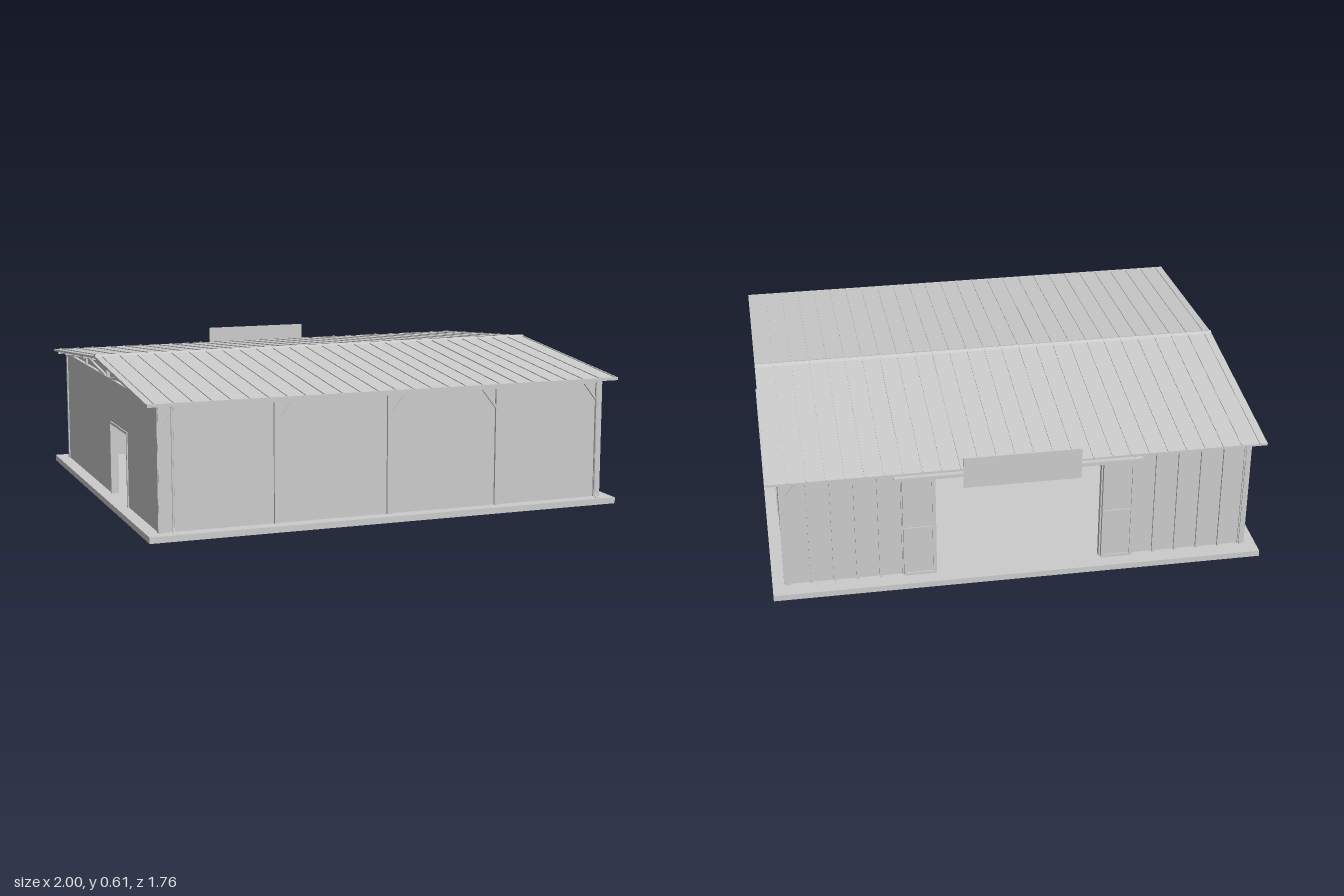
import * as THREE from 'three';

const mat = new THREE.MeshStandardMaterial({ color: 0xcccccc, flatShading: true, side: THREE.DoubleSide });
const FLOOR = 0.025, WALL_TOP = 0.51, RIDGE = 0.605, EAVE = 0.53, EAVE_Z = 0.85;
const roofY = z => RIDGE - (RIDGE - EAVE) * Math.abs(z) / EAVE_Z;

export function createModel() {
  const model = new THREE.Group();
  model.name = 'barn';

  const group = name => {
    const g = new THREE.Group();
    g.name = name;
    model.add(g);
    return g;
  };
  const add = (parent, name, geo) => {
    const m = new THREE.Mesh(geo, mat);
    m.name = name;
    parent.add(m);
    return m;
  };
  // box given by its limits on each axis
  const box = (parent, name, x0, x1, y0, y1, z0, z1) => {
    const m = add(parent, name, new THREE.BoxGeometry(x1 - x0, y1 - y0, z1 - z0));
    m.position.set((x0 + x1) / 2, (y0 + y1) / 2, (z0 + z1) / 2);
    return m;
  };
  // straight bar between two points
  const bar = (parent, name, a, b, w, h = w) => {
    const p = new THREE.Vector3(...a), q = new THREE.Vector3(...b);
    const m = add(parent, name, new THREE.BoxGeometry(w, h, p.distanceTo(q)));
    m.position.copy(p).add(q).multiplyScalar(0.5);
    m.lookAt(q);
    return m;
  };
  // outline of [z, y] points extruded along x
  const slice = (parent, name, pts, x0, x1) => {
    const shape = new THREE.Shape(pts.map(([z, y]) => new THREE.Vector2(-z, y)));
    const geo = new THREE.ExtrudeGeometry(shape, { depth: x1 - x0, bevelEnabled: false });
    geo.rotateY(Math.PI / 2).translate(x0, 0, 0);
    return add(parent, name, geo);
  };

  box(model, 'floorSlab', -1, 1, 0, FLOOR, -0.87, 0.86);

  // end walls with a doorway, closed gable and door frame
  for (const [s, z0, z1] of [[1, -0.25, 0.03], [-1, 0.05, 0.33]]) {
    const end = group(s > 0 ? 'leftEnd' : 'rightEnd');
    const span = (a, b) => s > 0 ? [a, b] : [-b, -a];
    slice(end, 'endWall', [[-0.8, FLOOR], [z0, FLOOR], [z0, 0.33], [z1, 0.33], [z1, FLOOR],
      [0.81, FLOOR], [0.81, WALL_TOP], [-0.8, WALL_TOP]], ...span(0.925, 0.948));
    slice(end, 'gable', [[-0.8, WALL_TOP], [0.81, WALL_TOP], [0.81, roofY(0.81) - 0.01],
      [0, RIDGE - 0.01], [-0.8, roofY(0.8) - 0.01]], ...span(0.925, 0.935));
    for (const z of [z0, z1])
      box(end, 'doorJamb', ...span(0.92, 0.953), FLOOR, 0.335, z - 0.005, z + 0.005);
    box(end, 'doorHead', ...span(0.92, 0.953), 0.325, 0.335, z0, z1);
    for (const z of [-0.793, 0.803])
      box(end, 'cornerPost', ...span(0.93, 0.953), FLOOR, WALL_TOP, z - 0.008, z + 0.008);
  }
  box(model, 'openDoorLeaf', -0.93, -0.84, FLOOR, 0.32, 0.32, 0.33);

  // front wall, posts and knee braces
  const front = group('frontWall');
  box(front, 'frontPanel', -0.945, 0.945, FLOOR, 0.525, 0.785, 0.803);
  for (const x of [-0.94, -0.475, 0, 0.475, 0.94]) {
    box(front, 'frontPost', x - 0.01, x + 0.01, FLOOR, 0.52, 0.78, 0.813);
    const d = x > 0.1 ? -1 : 1;
    bar(front, 'kneeBrace', [x, 0.42, 0.81], [x + d * 0.07, 0.51, 0.81], 0.01);
  }
  box(front, 'eaveBeam', -0.95, 0.95, 0.505, 0.525, 0.795, 0.815);

  // back wall: battened siding beside a wide opening
  const back = group('backWall');
  for (const s of [-1, 1]) {
    const span = (a, b) => s > 0 ? [a, b] : [-b, -a];
    box(back, 'backPanel', ...span(0.35, 0.945), FLOOR, 0.525, -0.795, -0.78);
    for (let i = 0; i < 6; i++) {
      const x = 0.47 + i * 0.093;
      box(back, 'batten', ...span(x - 0.005, x + 0.005), FLOOR, 0.52, -0.805, -0.79);
    }
    // sliding door pushed to the side
    box(back, 'slidingDoor', ...span(0.34, 0.47), 0.03, 0.475, -0.815, -0.803);
    for (const x of [0.346, 0.464])
      box(back, 'doorStile', ...span(x - 0.006, x + 0.006), 0.03, 0.475, -0.82, -0.803);
    for (const y of [0.036, 0.25, 0.469])
      box(back, 'doorRail', ...span(0.34, 0.47), y - 0.006, y + 0.006, -0.82, -0.803);
    box(back, 'openingPost', ...span(0.335, 0.355), FLOOR, 0.5, -0.8, -0.775);
    bar(back, 'kneeBrace', [s * 0.94, 0.42, -0.8], [s * 0.87, 0.51, -0.8], 0.01);
  }
  box(back, 'lintel', -0.36, 0.36, 0.47, 0.525, -0.795, -0.78);
  box(back, 'doorTrack', -0.5, 0.5, 0.475, 0.49, -0.82, -0.795);

  // trusses, with the end pair standing proud of the gables
  for (const x of [-0.945, -0.475, 0, 0.475, 0.945]) {
    const truss = group('truss');
    const w = 0.014, under = z => roofY(z) - 0.016;
    bar(truss, 'bottomChord', [x, WALL_TOP, -0.79], [x, WALL_TOP, 0.8], w);
    bar(truss, 'kingPost', [x, WALL_TOP, 0], [x, under(0), 0], w);
    for (const s of [-1, 1]) {
      bar(truss, 'topChord', [x, under(0), 0], [x, under(0.8), s * 0.8], w);
      bar(truss, 'web', [x, WALL_TOP, 0], [x, under(0.4), s * 0.4], 0.01);
      bar(truss, 'web', [x, WALL_TOP, s * 0.75], [x, under(0.4), s * 0.4], 0.01);
      bar(truss, 'strut', [x, WALL_TOP, s * 0.4], [x, under(0.4), s * 0.4], 0.01);
    }
  }

  // roof sheets with standing seams and purlins
  const roof = group('roof');
  for (const s of [-1, 1]) {
    slice(roof, 'roofSheet', [[0, RIDGE], [s * EAVE_Z, EAVE], [s * EAVE_Z, EAVE - 0.009], [0, RIDGE - 0.009]], -1, 1);
    for (let i = 0; i < 27; i++) {
      const x = Math.min(-0.97 + i * 0.0755, 0.993);
      bar(roof, 'seam', [x, RIDGE, 0], [x, EAVE, s * EAVE_Z], 0.006, 0.007);
    }
    for (const z of [0.1, 0.28, 0.46, 0.64, 0.8])
      box(roof, 'purlin', -0.99, 0.99, roofY(z) - 0.02, roofY(z) - 0.008, s * z - 0.006, s * z + 0.006);
  }
  slice(roof, 'ridgeCap', [[-0.018, RIDGE], [0, RIDGE + 0.006], [0.018, RIDGE], [0, RIDGE - 0.002]], -1, 1);
  box(roof, 'frontGutter', -1, 1, 0.52, 0.532, 0.845, 0.858);

  // downpipes with a kicked-out foot
  for (const x of [-0.905, 0.905]) {
    const path = new THREE.CurvePath();
    const pts = [[0.525, 0.852], [0.05, 0.857], [0.04, 0.862], [0.033, 0.878]].map(([y, z]) => new THREE.Vector3(x, y, z));
    for (let i = 0; i < 3; i++) path.add(new THREE.LineCurve3(pts[i], pts[i + 1]));
    add(model, 'downpipe', new THREE.TubeGeometry(path, 30, 0.005, 8));
  }

  // blank sign board on two brackets
  const sign = group('signBoard');
  box(sign, 'board', -0.235, 0.235, 0.462, 0.595, -0.88, -0.875);
  for (const x of [-0.15, 0.15])
    bar(sign, 'bracket', [x, 0.51, -0.79], [x, 0.51, -0.876], 0.007);

  // workbench inside
  const bench = group('workbench');
  box(bench, 'benchTop', -0.8, -0.2, 0.165, 0.18, 0.62, 0.78);
  box(bench, 'benchShelf', -0.8, -0.2, 0.08, 0.09, 0.63, 0.77);
  for (const x of [-0.79, -0.5, -0.21]) for (const z of [0.63, 0.77])
    box(bench, 'benchLeg', x - 0.008, x + 0.008, FLOOR, 0.17, z - 0.008, z + 0.008);

  return model;
}
